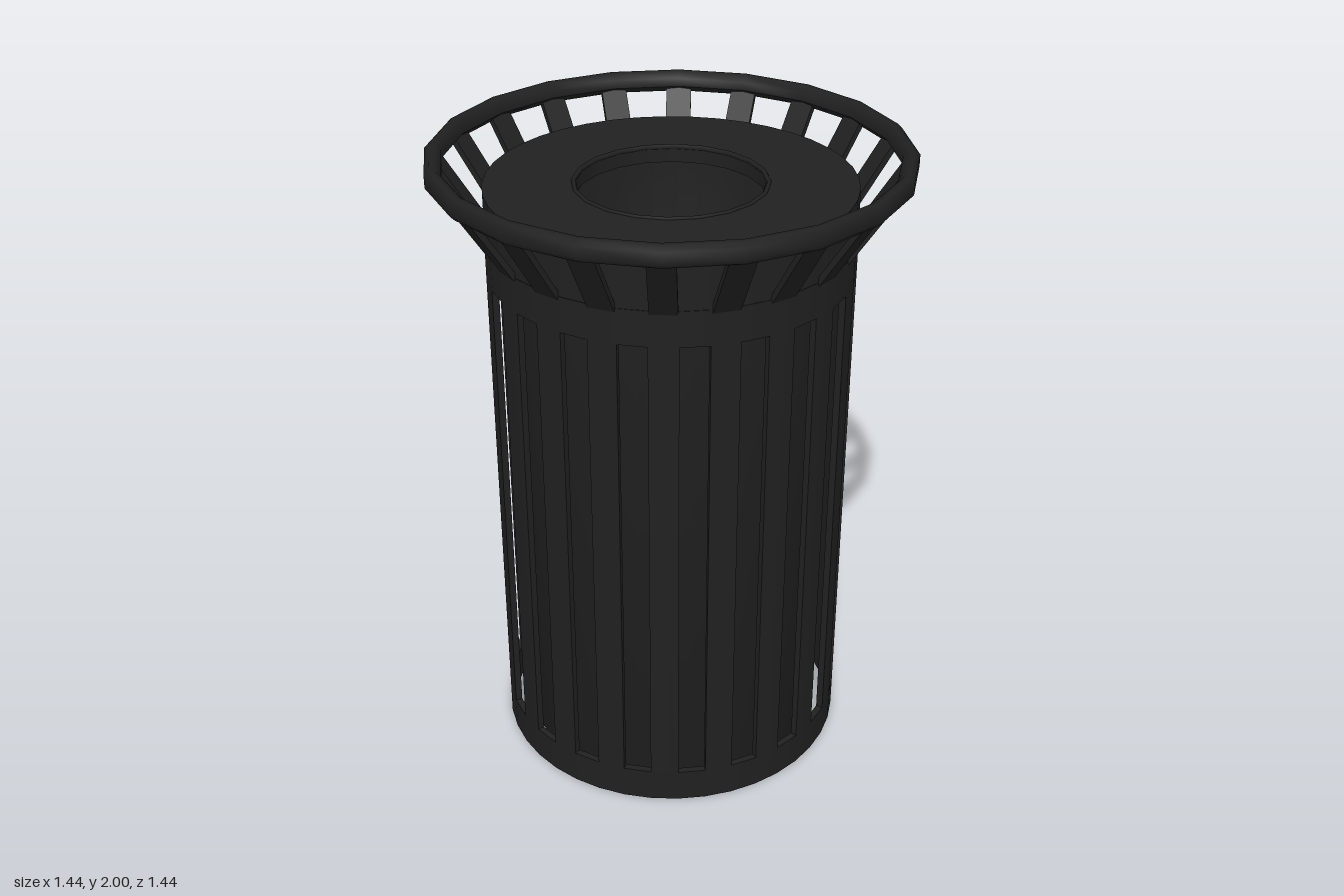
import * as THREE from 'three';
import { mergeGeometries } from 'three/addons/utils/BufferGeometryUtils.js';

const R_OUT = 0.557, R_IN = 0.536, COUNT = 20;
const STEP = (Math.PI * 2) / COUNT;
const HALF = STEP / 4; // half the angle of one slat

// Surface swept round y between two (radius, height) points
function sweep(r0, y0, r1, y1, segs, start, len) {
  return new THREE.LatheGeometry([new THREE.Vector2(r0, y0), new THREE.Vector2(r1, y1)], segs, start, len);
}

// Smooth surface of revolution from [radius, height] pairs
function turned(points, segs) {
  return new THREE.LatheGeometry(points.map(([r, y]) => new THREE.Vector2(r, y)), segs);
}

// Thick ring or ring sector with sharp edges
function ring(rIn, rOut, y0, y1, segs = 40, start = HALF, len = Math.PI * 2) {
  return mergeGeometries([
    sweep(rOut, y0, rOut, y1, segs, start, len),
    sweep(rIn, y1, rIn, y0, segs, start, len),
    sweep(rIn, y0, rOut, y0, segs, start, len),
    sweep(rOut, y1, rIn, y1, segs, start, len),
  ]);
}

// Upright slat: a ring sector closed by two radial side faces
function slatGeometry(y0, y1) {
  const parts = [ring(R_IN, R_OUT, y0, y1, 1, -HALF, HALF * 2)];
  for (const side of [-1, 1]) {
    const face = new THREE.PlaneGeometry(R_OUT - R_IN, y1 - y0);
    face.rotateY((side * Math.PI) / 2);
    face.translate(0, (y0 + y1) / 2, (R_IN + R_OUT) / 2);
    face.rotateY(side * HALF);
    parts.push(face);
  }
  return mergeGeometries(parts);
}

export function createModel() {
  const model = new THREE.Group();
  const metal = new THREE.MeshStandardMaterial({ color: 0x202020, side: THREE.DoubleSide });
  metal.name = 'black metal';

  function add(name, geometry) {
    const mesh = new THREE.Mesh(geometry, metal);
    mesh.name = name;
    model.add(mesh);
    return mesh;
  }

  // Slatted outer shell
  add('bottomBand', ring(R_IN, R_OUT, 0, 0.11));
  add('topBand', ring(R_IN, R_OUT, 1.63, 1.74));
  const slat = slatGeometry(0.11, 1.63);

  // Flared bars carrying the rim
  const foot = { r: 0.55, y: 1.735 }, head = { r: 0.695, y: 1.96 };
  const dr = head.r - foot.r, dy = head.y - foot.y;
  const bar = new THREE.BoxGeometry(0.08, Math.hypot(dr, dy), 0.018);
  bar.rotateX(Math.atan2(dr, dy));
  bar.translate(0, (foot.y + head.y) / 2, (foot.r + head.r) / 2);

  for (let i = 0; i < COUNT; i++) {
    add('slat', slat).rotation.y = i * STEP;
    add('flaredBar', bar).rotation.y = i * STEP;
  }

  // Faceted top rim: a narrow upright band with rounded edges
  add('rim', turned([
    [0.673, 1.955], [0.69, 1.936], [0.708, 1.936], [0.722, 1.95],
    [0.722, 1.986], [0.708, 2], [0.69, 2], [0.673, 1.982], [0.673, 1.955],
  ], COUNT));

  // Lid with skirt, round opening and rolled lip
  add('lidSkirt', ring(R_IN, R_OUT - 0.002, 1.74, 1.875));
  add('lidTop', ring(0.287, R_OUT - 0.002, 1.875, 1.895));
  add('openingCollar', ring(0.283, 0.29, 1.845, 1.892, COUNT, 0));
  const lip = add('openingLip', new THREE.TorusGeometry(0.288, 0.008, 6, COUNT));
  lip.rotation.x = Math.PI / 2;
  lip.position.y = 1.893;

  // Inner bucket, softly shaded from floor to wall
  add('liner', turned([[0, 0.03], [0.489, 0.03], [0.489, 1.87]], 40));

  return model;
}
